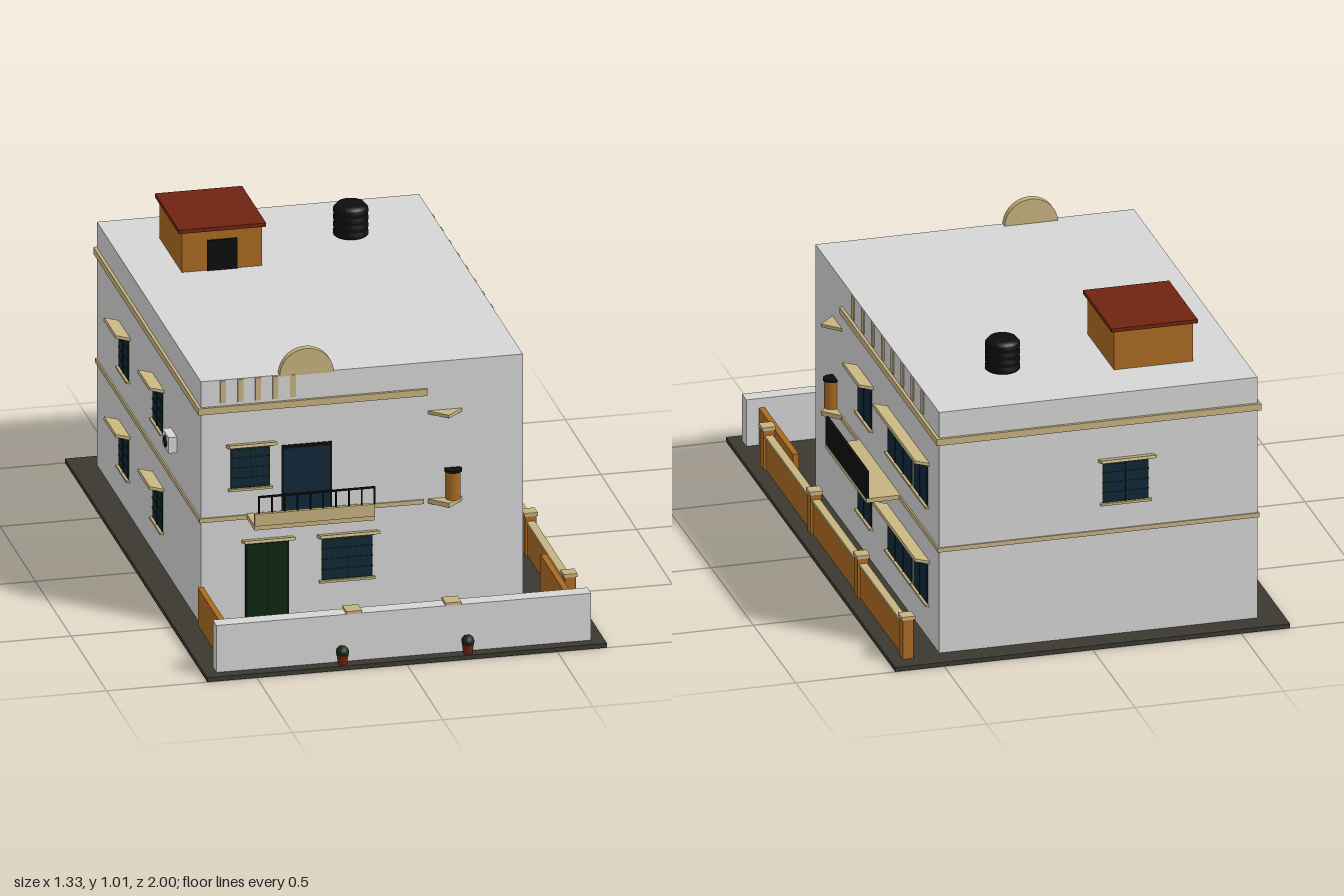
import * as THREE from 'three';

const mat = (name, color, extra = {}) => {
  const m = new THREE.MeshStandardMaterial({ color, ...extra });
  m.name = name;
  return m;
};

export function createModel() {
  const white = mat('white plaster', 0xd6d6d6);
  const tan = mat('sand trim', 0xc6b380);
  const orange = mat('ochre wall', 0xab6a22);
  const red = mat('terracotta', 0x702410);
  const ground = mat('dark paving', 0x3a3830);
  const glass = mat('blue glass', 0x10283a);
  const black = mat('black', 0x0d0d0d);
  const green = mat('dark green', 0x0c2611);

  const model = new THREE.Group();
  model.name = 'house';

  const add = (parent, name, geo, material, x = 0, y = 0, z = 0) => {
    const m = new THREE.Mesh(geo, material);
    m.name = name;
    m.position.set(x, y, z);
    parent.add(m);
    return m;
  };
  // Box given by its limits on each axis
  const box = (parent, name, material, x0, x1, y0, y1, z0, z1) =>
    add(parent, name, new THREE.BoxGeometry(x1 - x0, y1 - y0, z1 - z0), material,
      (x0 + x1) / 2, (y0 + y1) / 2, (z0 + z1) / 2);

  // Group on a facade: local +z points outward, u is the world x or z coordinate
  const L = -0.577, R = 0.495, F = 0.537, B = -0.922;
  const facade = (side, u, name) => {
    const g = new THREE.Group();
    g.name = name;
    const [x, z, turn] = {
      front: [u, F, 0], back: [u, B, Math.PI],
      right: [R, u, Math.PI / 2], left: [L, u, -Math.PI / 2],
    }[side];
    g.position.set(x, 0, z);
    g.rotation.y = turn;
    model.add(g);
    return g;
  };

  // Awning that rises slightly outward
  const awning = (g, w, y) => {
    const a = add(g, 'awning', new THREE.BoxGeometry(w, 0.01, 0.052), tan, 0, y + 0.007, 0.024);
    a.rotation.x = -0.28;
  };

  const addWindow = (side, u, w, y0, h, columns, rows) => {
    const g = facade(side, u, side + 'Window');
    box(g, 'windowFrame', green, -w / 2, w / 2, y0, y0 + h, -0.005, 0.003);
    box(g, 'windowGlass', glass, -w / 2 + 0.006, w / 2 - 0.006, y0 + 0.006, y0 + h - 0.006, 0, 0.004);
    for (let i = 1; i < columns; i++) {
      const x = -w / 2 + w * i / columns;
      box(g, 'windowBar', green, x - 0.002, x + 0.002, y0, y0 + h, 0, 0.006);
    }
    for (let i = 1; i < rows; i++) {
      const y = y0 + h * i / rows;
      box(g, 'windowBar', green, -w / 2, w / 2, y - 0.0015, y + 0.0015, 0, 0.006);
    }
    box(g, 'windowSill', tan, -w / 2 - 0.008, w / 2 + 0.008, y0 - 0.008, y0, -0.005, 0.012);
    box(g, 'windowLintel', tan, -w / 2 - 0.008, w / 2 + 0.008, y0 + h, y0 + h + 0.008, -0.005, 0.01);
    awning(g, w + 0.03, y0 + h + 0.008);
  };

  const addDoor = (u, w, y0, y1, panel) => {
    const g = facade('front', u, 'frontDoor');
    box(g, 'doorFrame', black, -w / 2, w / 2, y0, y1, -0.005, 0.003);
    box(g, 'doorPanel', panel, -w / 2 + 0.007, w / 2 - 0.007, y0, y1 - 0.01, 0, 0.006);
    return g;
  };

  // Ground and main block
  box(model, 'groundSlab', ground, -0.665, 0.665, 0, 0.015, -1, 1);
  box(model, 'mainBlock', white, L, R, 0.005, 0.86, B, F);

  // Bands round the facades, open at the front right corner
  [['cornice', 0.747, 0.77, 0.01, 0.175, 0.22], ['floorBand', 0.37, 0.385, 0.005, 0.165, 0.215]]
    .forEach(([name, y0, y1, d, xEnd, zEnd]) => {
      box(model, name, tan, L - d, xEnd, y0, y1, F - 0.01, F + d);
      box(model, name, tan, L - d, L + 0.01, y0, y1, B - d, F + d);
      box(model, name, tan, L - d, R + d, y0, y1, B - d, B + 0.01);
      box(model, name, tan, R - 0.01, R + d, y0, y1, B - d, zEnd);
    });

  // Vertical strips under the roof edge
  const strip = (side, u, w) =>
    box(facade(side, u, 'parapetStrip'), 'strip', tan, -w / 2, w / 2, 0.78, 0.858, -0.005, 0.004);
  for (let i = 0; i < 5; i++) strip('front', -0.503 + i * 0.058, 0.019);
  for (let i = 0; i < 8; i++) strip('right', 0.09 - i * 0.117, 0.028);

  // Windows
  addWindow('front', -0.413, 0.13, 0.48, 0.14, 2, 4);
  addWindow('front', -0.091, 0.17, 0.135, 0.145, 2, 4);
  for (const y of [0.48, 0.136]) {
    addWindow('right', -0.05, 0.165, y, 0.142, 2, 1);
    addWindow('right', -0.465, 0.285, y, 0.142, 3, 1);
    addWindow('right', -0.71, 0.165, y, 0.142, 2, 1);
    addWindow('left', -0.062, 0.135, y, 0.14, 2, 4);
    addWindow('left', -0.537, 0.135, y, 0.14, 2, 4);
  }
  addWindow('back', -0.132, 0.155, 0.48, 0.14, 2, 4);

  // Doors
  addDoor(-0.225, 0.167, 0.385, 0.615, glass);
  const entrance = addDoor(-0.357, 0.145, 0.015, 0.292, green);
  box(entrance, 'doorSeam', black, -0.002, 0.002, 0.015, 0.28, 0, 0.007);
  awning(entrance, 0.17, 0.292);

  // Front balcony with railing
  const balcony = new THREE.Group();
  balcony.name = 'frontBalcony';
  model.add(balcony);
  box(balcony, 'balconySlab', tan, -0.425, -0.025, 0.372, 0.388, F - 0.01, 0.65);
  box(balcony, 'balconyParapet', tan, -0.425, -0.025, 0.388, 0.43, 0.643, 0.656);
  box(balcony, 'handrail', black, -0.412, -0.024, 0.484, 0.49, 0.647, 0.653);
  for (let i = 0; i < 10; i++) {
    const x = -0.41 + i * 0.0427;
    box(balcony, 'baluster', black, x - 0.0025, x + 0.0025, 0.43, 0.486, 0.6475, 0.6525);
  }

  // Side balcony with a solid black screen
  box(model, 'sideBalconySlab', tan, R - 0.01, 0.61, 0.37, 0.385, -0.465, 0.015);
  box(model, 'sideBalconyScreen', black, 0.6, 0.611, 0.385, 0.48, -0.465, 0.015);

  // Triangular ledges with half-round niche posts
  const tri = new THREE.Shape([[-0.062, 0.005], [0.062, 0.005], [0, -0.055]].map(p => new THREE.Vector2(...p)));
  const corner = (side, u, post) => {
    const g = facade(side, u, 'cornerNiche');
    for (const [y, t] of [[0.369, 0.016], [0.68, 0.011]]) {
      const geo = new THREE.ExtrudeGeometry(tri, { depth: t, bevelEnabled: false });
      geo.rotateX(-Math.PI / 2);
      add(g, 'ledge', geo, tan, 0, y, 0);
    }
    add(g, 'nichePost', new THREE.CylinderGeometry(0.025, 0.025, 0.097, 12), orange, post, 0.433, 0.012);
    add(g, 'nicheCap', new THREE.CylinderGeometry(0.029, 0.029, 0.008, 12), black, post, 0.484, 0.012);
  };
  corner('front', 0.236, 0.024);
  corner('right', 0.28, -0.024);

  // Half-disc crest on the front parapet
  const disc = new THREE.Shape();
  disc.absarc(0, 0, 0.09, 0, Math.PI, false);
  add(model, 'roofCrest', new THREE.ExtrudeGeometry(disc, { depth: 0.025, bevelEnabled: false, curveSegments: 20 }),
    tan, -0.225, 0.855, 0.514);

  // Roof hut
  box(model, 'hutWalls', orange, -0.413, -0.147, 0.855, 1.0, -0.735, -0.422);
  box(model, 'hutRoof', red, -0.425, -0.135, 0.998, 1.011, -0.75, -0.412);
  box(model, 'hutDoor', black, -0.33, -0.23, 0.86, 0.965, -0.424, -0.416);

  // Ribbed water tank
  const r = 0.052;
  const tankProfile = [[0, 0], [r, 0]];
  for (let i = 0; i < 4; i++) {
    const y = i * 0.025;
    tankProfile.push([r + 0.005, y + 0.004], [r + 0.005, y + 0.02], [r, y + 0.025]);
  }
  tankProfile.push([0.044, 0.11], [0, 0.11]);
  add(model, 'waterTank', new THREE.LatheGeometry(tankProfile.map(p => new THREE.Vector2(...p)), 20),
    black, 0.197, 0.86, -0.625);

  // Air conditioner on the left wall
  const ac = facade('left', 0.158, 'airConditioner');
  box(ac, 'casing', white, -0.043, 0.043, 0.485, 0.54, -0.005, 0.028);
  add(ac, 'fan', new THREE.CylinderGeometry(0.02, 0.02, 0.004, 16).rotateX(Math.PI / 2), black, 0, 0.512, 0.029);

  // Front yard walls
  box(model, 'frontWall', white, -0.625, 0.622, 0.012, 0.178, 0.908, 0.96);
  for (const x of [-0.167, 0.163])
    box(model, 'wallCap', tan, x - 0.026, x + 0.026, 0.178, 0.188, 0.906, 0.962);
  box(model, 'yardWallLeft', orange, -0.587, -0.568, 0.012, 0.145, F, 0.91);
  box(model, 'yardWallRight', orange, 0.56, 0.58, 0.012, 0.145, 0.505, 0.91);

  // Right boundary fence with capped posts
  box(model, 'fence', orange, 0.594, 0.615, 0.012, 0.125, -0.935, 0.735);
  box(model, 'fenceCoping', tan, 0.591, 0.618, 0.125, 0.134, -0.935, 0.735);
  for (const z of [0.722, 0.165, -0.39, -0.922]) {
    box(model, 'fencePost', orange, 0.586, 0.623, 0.012, 0.152, z - 0.019, z + 0.019);
    box(model, 'fencePostCap', tan, 0.582, 0.627, 0.152, 0.164, z - 0.023, z + 0.023);
  }

  // Potted plants
  for (const x of [-0.21, 0.207]) {
    add(model, 'pot', new THREE.CylinderGeometry(0.02, 0.015, 0.032, 12), red, x, 0.031, 0.979);
    add(model, 'bush', new THREE.IcosahedronGeometry(0.022, 1), green, x, 0.056, 0.979);
  }
  return model;
}
